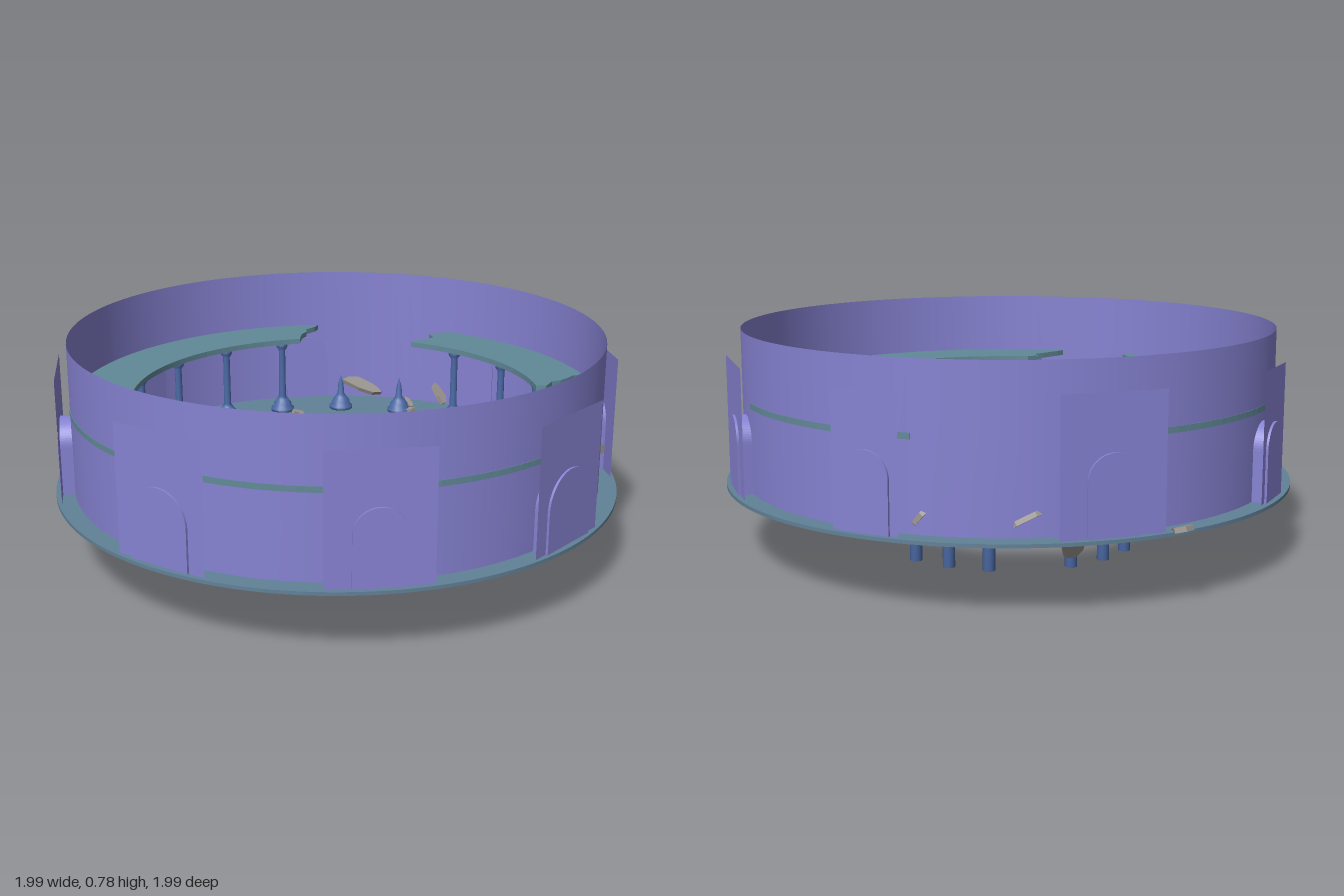
import * as THREE from 'three';

const rad = THREE.MathUtils.degToRad;
const mat = (color, extra = {}) => new THREE.MeshStandardMaterial({ color, ...extra });
const wallMat = mat(0x8682d2, { side: THREE.DoubleSide });
const stoneMat = mat(0x628298);
const galleryMat = mat(0x628a98);
const pillarMat = mat(0x4b6aa6);
const rubbleMat = mat(0x9c9690, { flatShading: true });

let seed = 7;
const rnd = () => (seed = (seed * 16807) % 2147483647) / 2147483647;

const polar = (r, deg) => new THREE.Vector2(r * Math.cos(rad(deg)), r * Math.sin(rad(deg)));

function add(parent, name, geometry, material) {
  const mesh = new THREE.Mesh(geometry, material);
  mesh.name = name;
  parent.add(mesh);
  return mesh;
}

// Horizontal slab: the outline is drawn in x/z and hangs down from the given top
function slab(parent, name, shape, top, depth, material) {
  const geo = new THREE.ExtrudeGeometry(shape, { depth, bevelEnabled: false, curveSegments: 96 });
  geo.rotateX(Math.PI / 2);
  const mesh = add(parent, name, geo, material);
  mesh.position.y = top;
  return mesh;
}

// Ring sector with ragged ends; angles are given at the inner and outer edges
function sector(rIn, rOut, [in0, out0], [in1, out1], ragged) {
  const pts = [];
  const arc = (r, a, b) => {
    const n = Math.max(2, Math.ceil(Math.abs(b - a) / 3));
    for (let i = 0; i <= n; i++) pts.push(polar(r, a + (b - a) * i / n));
  };
  const broken = (r0, r1, a, b) => {
    for (let i = 1; i < 6; i++) {
      const t = i / 6;
      pts.push(polar(r0 + (r1 - r0) * t, a + (b - a) * t + (rnd() - 0.5) * ragged));
    }
  };
  arc(rOut, out0, out1);
  broken(rOut, rIn, out1, in1);
  arc(rIn, in1, in0);
  broken(rIn, rOut, in0, out0);
  return new THREE.Shape(pts);
}

function lathe(profile) {
  return new THREE.LatheGeometry(profile.map(([r, y]) => new THREE.Vector2(r, y)), 16);
}

// Irregular flat shard of stone
function shard(parent, x, y, z, length, width, yaw, tilt, roll) {
  const pts = [];
  for (let i = 0; i < 7; i++) {
    const p = polar(0.38 + rnd() * 0.2, i * 360 / 7);
    pts.push(new THREE.Vector2(p.x * length, p.y * width));
  }
  const geo = new THREE.ExtrudeGeometry(new THREE.Shape(pts), { depth: 0.016, bevelEnabled: false });
  geo.center().rotateX(Math.PI / 2);
  const mesh = add(parent, 'rubble', geo, rubbleMat);
  mesh.position.set(x, y, z);
  mesh.rotation.set(rad(tilt), rad(yaw), rad(roll));
}

export function createModel() {
  const model = new THREE.Group();

  // Floor with a round well, chipped in two places
  const floor = new THREE.Shape().absarc(0, 0, 0.995, 0, Math.PI * 2);
  const well = [];
  for (let a = 0; a < 360; a += 3) {
    const chipped = (a > 28 && a < 46) || (a > 113 && a < 138);
    well.push(polar(chipped ? 0.47 + rnd() * 0.03 : 0.445, a));
  }
  floor.holes.push(new THREE.Path(well));
  slab(model, 'floor', floor, 0.243, 0.012, stoneMat);

  // Lower rim around the well
  for (const [a, b] of [[47, 113], [138, 388]]) {
    slab(model, 'wellRim', sector(0.42, 0.465, [a, a], [b, b], 4), 0.232, 0.03, stoneMat);
  }

  // Outer wall
  const wall = add(model, 'wall', new THREE.CylinderGeometry(0.93, 0.93, 0.535, 96, 1, true), wallMat);
  wall.position.y = 0.5075;

  // Broken gallery: [inner, outer] angles at each end
  const gallery = [[[-13, -8], [47, 40]], [[64, 75], [160, 168]], [[192, 185], [311, 318]]];
  for (const [start, end] of gallery) {
    slab(model, 'gallery', sector(0.72, 0.932, start, end, 4), 0.552, 0.02, galleryMat);
  }

  // Gallery pillars, snapped off where the gallery has fallen
  const base = [[0, 0], [0.047, 0], [0.047, 0.012], [0.036, 0.022], [0.036, 0.032], [0.023, 0.05], [0.014, 0.062]];
  const whole = lathe([...base, [0.013, 0.255], [0.022, 0.268], [0.026, 0.292], [0, 0.292]]);
  const stub = lathe([...base, [0.011, 0.1], [0, 0.14]]);
  const posts = lathe([[0, 0], [0.021, 0], [0.021, 0.165], [0.027, 0.175], [0.035, 0.185], [0.035, 0.204], [0, 0.204]]);
  const snapped = [3, 10, 18, 19];
  const missing = [2, 7, 18];
  for (let i = 0; i < 20; i++) {
    const p = polar(0.77, i * 18);
    add(model, 'galleryPillar', snapped.includes(i) ? stub : whole, pillarMat).position.set(p.x, 0.242, p.y);
    // Posts below the well rim
    if (missing.includes(i)) continue;
    const q = polar(0.45, i * 18);
    add(model, 'lowerPost', posts, pillarMat).position.set(q.x, 0, q.y);
  }

  // Eight doorways: flat panel with an arched block through the wall
  const doorways = [
    { turn: 0, shift: -3.5, width: 0.35, half: 0.12 }, { turn: 45 }, { turn: 90, width: 0.23 },
    { turn: 135 }, { turn: 180, width: 0.23 }, { turn: 225 },
    { turn: 270, shift: 3.5, half: 0.11 }, { turn: 315 },
  ];
  for (const { turn, shift = 0, width = 0.34, half = 0.085 } of doorways) {
    const door = new THREE.Group();
    door.name = 'doorway';
    door.rotation.y = rad(turn + shift);
    const panel = add(door, 'doorPanel', new THREE.PlaneGeometry(width, 0.44), wallMat);
    panel.position.set(0, 0.46, 0.968);
    const spring = 0.5 - half;
    const arch = new THREE.Shape().moveTo(-half, 0.24).lineTo(half, 0.24).lineTo(half, spring);
    arch.absarc(0, spring, half, 0, Math.PI);
    const block = add(door, 'doorArch', new THREE.ExtrudeGeometry(arch, {
      depth: 0.054, bevelEnabled: false, curveSegments: 16 }), wallMat);
    block.position.z = 0.922;
    model.add(door);
  }

  // Large pieces: x, y, z, length, width, yaw, tilt, roll
  [
    [-0.87, 0.26, -0.04, 0.15, 0.11, 80, 5, 12], [-0.85, 0.26, 0.12, 0.12, 0.08, 60, 8, 6],
    [-0.7, 0.25, 0.14, 0.1, 0.03, -30, 0, 4], [0.78, 0.3, -0.46, 0.18, 0.08, -55, 40, 10],
    [0.73, 0.25, -0.21, 0.09, 0.03, -55, 0, 5], [0.82, 0.25, -0.25, 0.12, 0.03, 50, 5, 0],
    [0.9, 0.29, -0.15, 0.1, 0.05, 80, 50, 0], [0.31, 0.25, 0.77, 0.13, 0.04, -35, 5, 5],
    [0.5, 0.26, 0.75, 0.09, 0.06, 20, 10, 5], [0.35, 0.25, 0.68, 0.06, 0.03, 10, 0, 5],
    [0.24, 0.25, 0.83, 0.1, 0.03, 60, 0, 0], [0.5, 0.24, -0.83, 0.13, 0.07, 40, 10, 10],
    [0.31, 0.17, 0.7, 0.15, 0.1, 25, 70, 20], [0.55, 0.17, -0.5, 0.14, 0.1, 45, 60, 15],
    [0.57, 0.18, 0.52, 0.14, 0.05, 40, 30, 60], [0.53, 0.35, 0.77, 0.06, 0.04, 10, 80, 0],
    [-0.27, 0.225, -0.76, 0.12, 0.08, 30, 10, 8],
  ].forEach((piece) => shard(model, ...piece));

  // Small splinters poking through the floor
  for (let i = 0; i < 34; i++) {
    const p = polar(0.58 + rnd() * 0.32, rnd() * 360);
    shard(model, p.x, 0.233, p.y, 0.04 + rnd() * 0.07, 0.02 + rnd() * 0.03,
      rnd() * 360, rnd() * 50 - 25, rnd() * 40 - 20);
  }
  return model;
}
